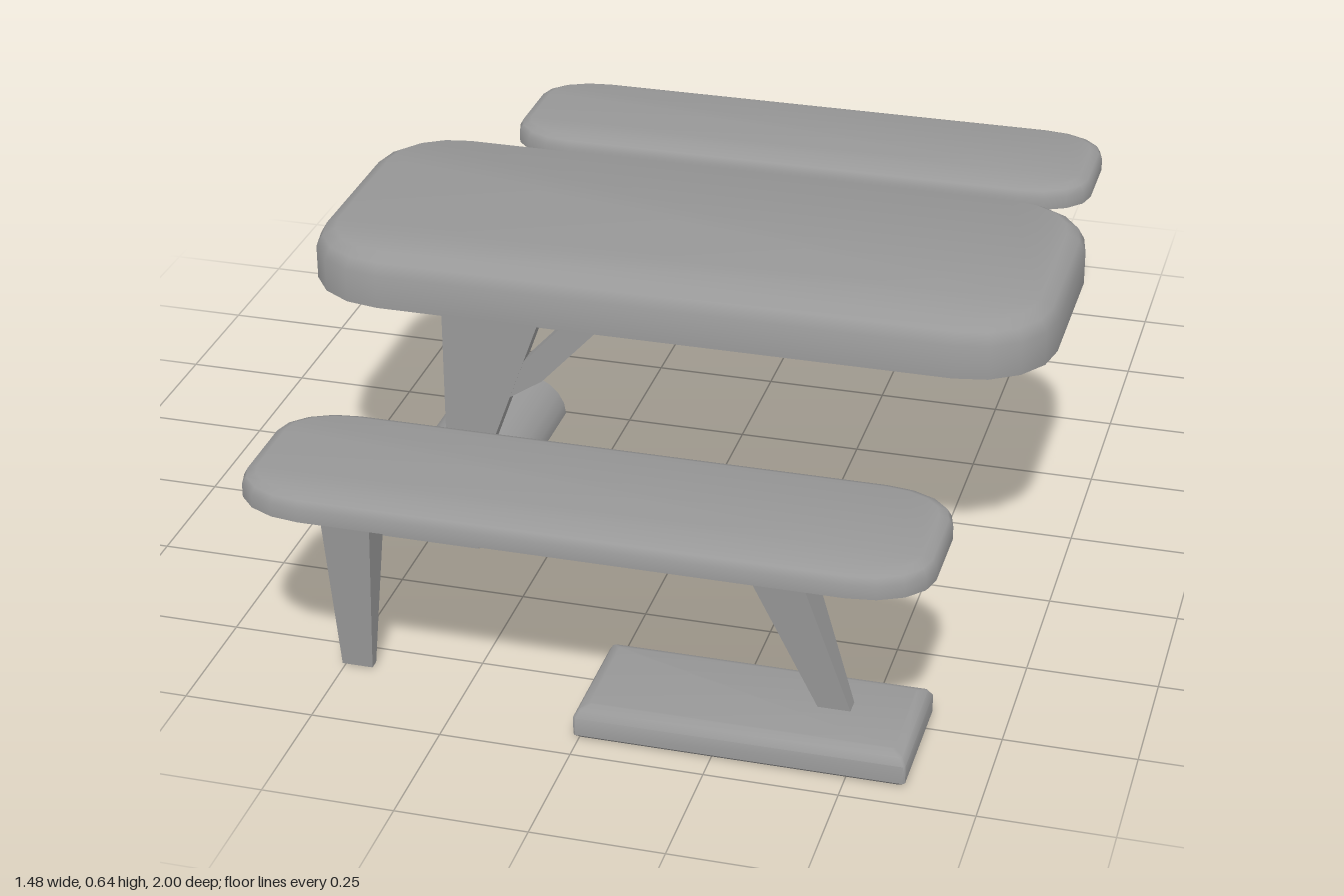
import * as THREE from 'three';
import { toCreasedNormals } from 'three/addons/utils/BufferGeometryUtils.js';

const grey = new THREE.MeshStandardMaterial({ color: 0x999999, side: THREE.DoubleSide });
grey.name = 'grey';

// Rounded slab: a rounded rectangle lofted through [inset, y] rows
function slab(width, depth, cornerX, cornerZ, rows, steps = 4) {
  const positions = [], index = [];
  const count = 4 * (steps + 1);
  for (const [inset, y] of rows) {
    const a = width / 2 - inset, b = depth / 2 - inset;
    const rx = Math.max(cornerX - inset, 0.004), rz = Math.max(cornerZ - inset, 0.004);
    for (let q = 0; q < 4; q++) {
      const sx = q === 0 || q === 3 ? 1 : -1, sz = q < 2 ? 1 : -1;
      for (let i = 0; i <= steps; i++) {
        const t = (q + i / steps) * Math.PI / 2;
        positions.push(sx * (a - rx) + rx * Math.cos(t), y, sz * (b - rz) + rz * Math.sin(t));
      }
    }
  }
  for (let r = 0; r < rows.length - 1; r++) {
    for (let i = 0; i < count; i++) {
      const p = r * count + i, q = r * count + (i + 1) % count;
      index.push(p, p + count, q, q, p + count, q + count);
    }
  }
  // bottom and top caps
  const last = (rows.length - 1) * count;
  for (let i = 1; i < count - 1; i++) {
    index.push(0, i, i + 1, last, last + i + 1, last + i);
  }
  const geometry = new THREE.BufferGeometry();
  geometry.setAttribute('position', new THREE.Float32BufferAttribute(positions, 3));
  geometry.setIndex(index);
  return toCreasedNormals(geometry, 0.75);
}

// Tapered leg: a box with its own x range, y and z width at each end
function taperedLeg(top, bottom, topWidth, bottomWidth) {
  const geometry = new THREE.BoxGeometry(1, 1, 1);
  const p = geometry.attributes.position;
  for (let i = 0; i < p.count; i++) {
    const upper = p.getY(i) > 0;
    const end = upper ? top : bottom;
    const [x, y] = end[p.getX(i) > 0 ? 1 : 0];
    p.setXYZ(i, x, y, p.getZ(i) * (upper ? topWidth : bottomWidth));
  }
  geometry.computeVertexNormals();
  return geometry;
}

// Flat plate cut from a side outline
function plate(points, thickness) {
  const shape = new THREE.Shape(points.map(([x, y]) => new THREE.Vector2(x, y)));
  const geometry = new THREE.ExtrudeGeometry(shape, { depth: thickness, bevelEnabled: false });
  return geometry.translate(0, 0, -thickness / 2);
}

function add(group, name, geometry, x = 0, y = 0, z = 0) {
  const mesh = new THREE.Mesh(geometry, grey);
  mesh.name = name;
  mesh.position.set(x, y, z);
  group.add(mesh);
}

function bench(name, z, legZ, footX, slantedTop, slantedBottom, legWidth) {
  const group = new THREE.Group();
  group.name = name;
  add(group, 'seat', slab(1.29, 0.345, 0.14, 0.1,
    [[0, 0.415], [0, 0.441], [0.008, 0.455], [0.026, 0.462]]), 0, 0, z);
  add(group, 'uprightLeg', taperedLeg(
    [[-0.525, 0.42], [-0.42, 0.42]], [[-0.505, 0.008], [-0.445, 0.008]], legWidth, 0.02), 0, 0, legZ);
  add(group, 'slantedLeg', taperedLeg(slantedTop, slantedBottom, legWidth, 0.03), 0, 0, legZ);
  add(group, 'foot', slab(0.62, 0.25, 0.004, 0.004,
    [[0.01, 0.005], [0, 0.014], [0, 0.05], [0.008, 0.063], [0.025, 0.07]], 1), footX, 0, Math.sign(z) * 0.825);
  return group;
}

export function createModel() {
  const model = new THREE.Group();
  model.name = 'picnicTable';

  const table = new THREE.Group();
  table.name = 'table';
  table.position.z = 0.083;
  model.add(table);
  add(table, 'tabletop', slab(1.475, 0.62, 0.17, 0.16,
    [[0, 0.545], [0, 0.613], [0.013, 0.636], [0.038, 0.649]]));
  add(table, 'beam', new THREE.BoxGeometry(1.165, 0.056, 0.13), -0.002, 0.518, 0.002);
  add(table, 'post', plate(
    [[-0.54, 0.49], [-0.54, 0.03], [-0.47, 0.03], [-0.44, 0.11], [-0.335, 0.4], [-0.3, 0.49]], 0.042));
  add(table, 'brace', plate(
    [[-0.2, 0.49], [-0.375, 0.3], [-0.43, 0.25], [-0.41, 0.215], [-0.33, 0.268], [-0.125, 0.49]], 0.04));

  // Half-round foot, open underneath
  const base = new THREE.CylinderGeometry(1, 1, 0.59, 12, 1, false, Math.PI / 2, Math.PI);
  base.rotateX(Math.PI / 2).scale(0.118, 0.09, 1);
  add(table, 'halfRoundFoot', base, -0.498, 0.025, 0.002);

  model.add(bench('frontBench', 0.825, 0.812, 0.3,
    [[0.258, 0.42], [0.369, 0.42]], [[0.425, 0.06], [0.485, 0.06]], 0.097));
  model.add(bench('backBench', -0.825, -0.832, -0.38,
    [[-0.185, 0.425], [-0.09, 0.4]], [[-0.375, 0.06], [-0.31, 0.06]], 0.11));
  return model;
}
